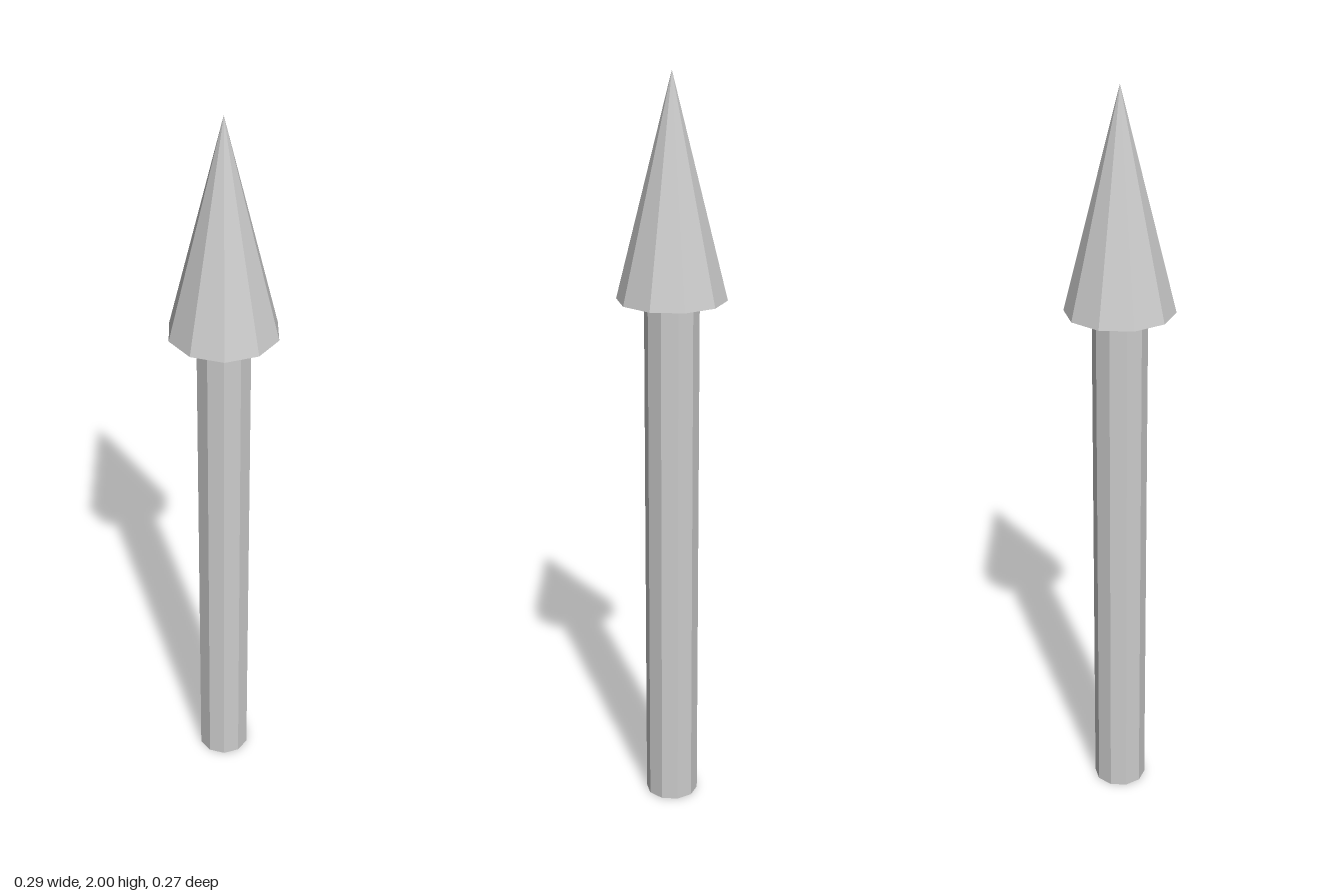
import * as THREE from 'three';

const SIDES = 10;
const SHAFT_RADIUS = 0.0714;
const SHAFT_HEIGHT = 1.4286;
const HEAD_RADIUS = 0.1429;
const HEAD_HEIGHT = 2 - SHAFT_HEIGHT;

export function createModel() {
  const group = new THREE.Group();
  group.name = 'arrow';
  const material = new THREE.MeshStandardMaterial({ color: 0xcccccc, flatShading: true });

  // Ten-sided part with corners on the x axis, standing on the given height
  const addPart = (name, geometry, bottom, height) => {
    const mesh = new THREE.Mesh(geometry, material);
    mesh.name = name;
    mesh.rotation.y = Math.PI / 2;
    mesh.position.y = bottom + height / 2;
    group.add(mesh);
  };

  // Straight shaft
  addPart('shaft', new THREE.CylinderGeometry(SHAFT_RADIUS, SHAFT_RADIUS, SHAFT_HEIGHT, SIDES), 0, SHAFT_HEIGHT);

  // Pointed head
  addPart('head', new THREE.ConeGeometry(HEAD_RADIUS, HEAD_HEIGHT, SIDES), SHAFT_HEIGHT, HEAD_HEIGHT);

  return group;
}
